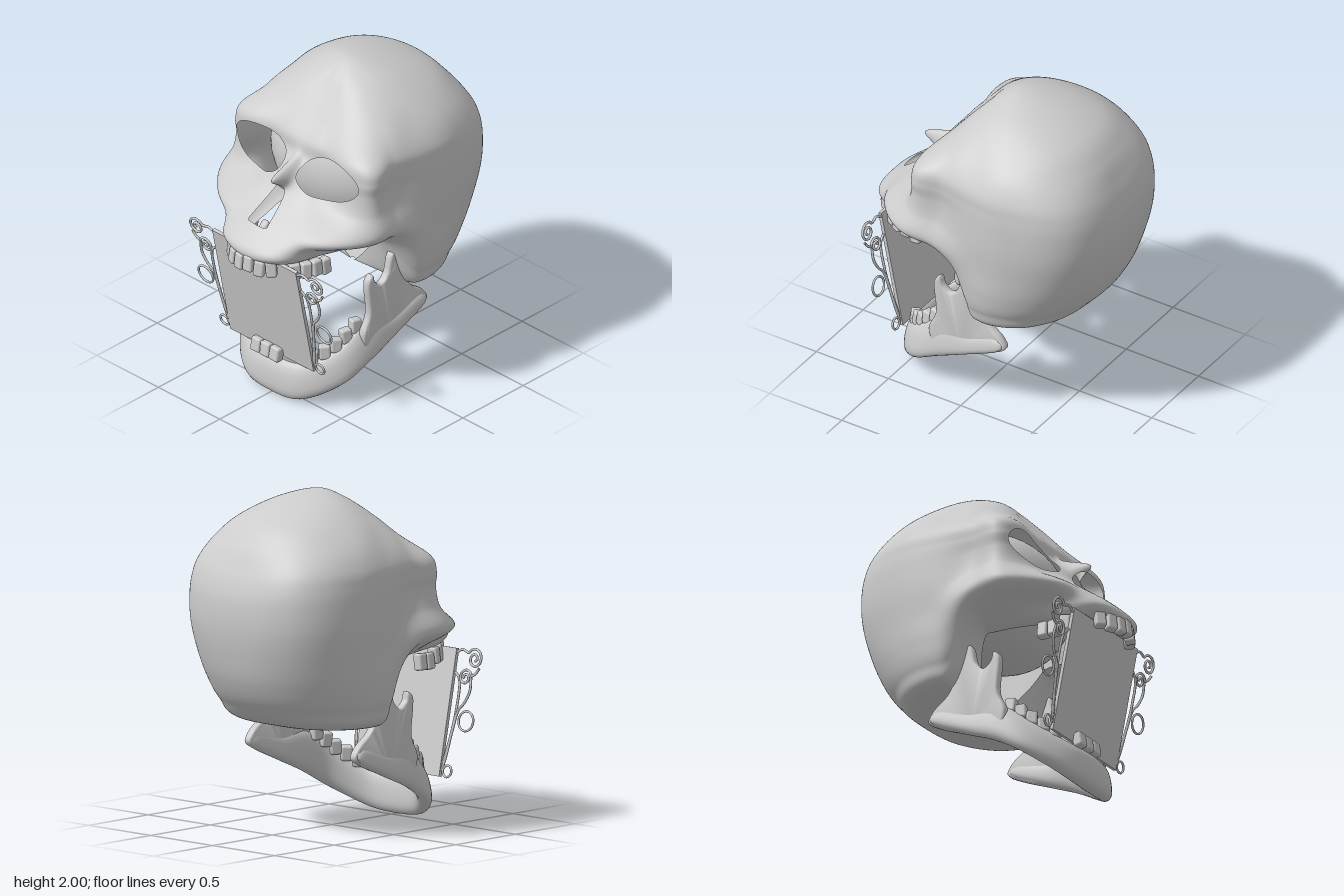
import * as THREE from 'three';
import { toCreasedNormals } from 'three/addons/utils/BufferGeometryUtils.js';
import { RoundedBoxGeometry } from 'three/addons/geometries/RoundedBoxGeometry.js';

const bone = new THREE.MeshStandardMaterial({ color: 0xcccccc, side: THREE.DoubleSide });
const V = (x, y, z) => new THREE.Vector3(x, y, z);

function add(parent, name, geometry) {
  const mesh = new THREE.Mesh(geometry, bone);
  mesh.name = name;
  parent.add(mesh);
  return mesh;
}

// Skull control net: radii around the vertical axis z = AXIS at these angles from the front
const AXIS = -0.1;
const ANGLES = [0, 15, 30, 53, 70, 90, 115, 145, 180];
// height at the front, height at the back, then one radius per angle
const ROWS = [
  [2.0, 2.0, 0, 0, 0, 0, 0, 0, 0, 0, 0],
  [1.95, 1.95, .12, .12, .13, .15, .17, .2, .23, .25, .26],
  [1.85, 1.85, .21, .22, .25, .31, .34, .37, .42, .48, .49],
  [1.73, 1.73, .315, .33, .37, .47, .49, .495, .565, .62, .605],
  [1.615, 1.61, .415, .43, .475, .65, .58, .575, .64, .715, .67],
  [1.52, 1.51, .45, .45, .49, .685, .59, .59, .66, .755, .712],
  [1.43, 1.4, .54, .51, .53, .68, .585, .595, .668, .77, .737],
  [1.32, 1.25, .6, .61, .61, .70, .6, .6, .668, .765, .738],
  [1.18, 1.09, .79, .78, .80, .76, .65, .6, .655, .73, .712],
  [1.08, .92, .895, .87, .69, .61, .55, .59, .635, .67, .66],
  [1.02, .77, .89, .83, .63, .49, .45, .56, .59, .585, .565],
  [1.0, .65, .80, .75, .56, .42, .38, .47, .49, .45, .4],
  [1.02, .61, .72, .68, .5, .36, .3, .02, .02, .02, .02],
];
const LAST = ROWS.length - 1;

const spline = (f, i, t) => {
  const [a, b, c, d] = [f(i - 1), f(i), f(i + 1), f(i + 2)];
  return b + 0.5 * t * (c - a + t * (2 * a - 5 * b + 4 * c - d + t * (3 * (b - c) + d - a)));
};
const cell = (i, k) => ROWS[Math.min(Math.abs(i), LAST)][k];
const column = j => (j < 0 ? -j : j > 8 ? 16 - j : j);
const angleAt = j => (j < 0 ? -ANGLES[-j] : j > 8 ? 360 - ANGLES[16 - j] : ANGLES[j]);

function skullPoint(u, v) {
  const j = Math.min(Math.floor(Math.abs(u)), 7), tu = Math.abs(u) - j;
  const i = Math.min(Math.floor(v), LAST - 1), tv = v - i;
  const deg = spline(angleAt, j, tu);
  const base = spline(row => (row < 0 ? -1 : 1) * spline(k => cell(row, 2 + column(k)), j, tu), i, tv);
  const back = THREE.MathUtils.smoothstep(deg, 62, 92);
  const y = THREE.MathUtils.lerp(spline(k => cell(k, 0), i, tv), spline(k => cell(k, 1), i, tv), back);
  // narrow ridge of the nasal bridge
  const r = base + 0.14 * Math.exp(-((deg / 3.3) ** 2) - ((y - 1.445) / 0.058) ** 2);
  const a = THREE.MathUtils.degToRad(deg) * Math.sign(u);
  return V(Math.sin(a) * r, y, AXIS + Math.cos(a) * r);
}

// Eye and nose openings, as seen from the front (set slightly off centre)
function inOpening(p) {
  if (p.z < 0.15) return false;
  const x = p.x + 0.015;
  const dx = Math.abs(x) - 0.285, dy = p.y - 1.468 - 0.06 * dx;
  const eye = Math.abs(dx / 0.215) ** 2.05 + Math.abs(dy / 0.112) ** 2.05 < 1;
  const nose = p.y > 1.185 && p.y < 1.41 && Math.abs(x) < 0.077 * ((1.41 - p.y) / 0.225) ** 0.6;
  return eye || nose;
}

function skullGeometry() {
  const NU = 288, NV = LAST * 12;
  const param = (c, r) => [-8 + 16 * c / NU, LAST * r / NV];
  const id = (c, r) => r * NU + (c + NU) % NU;
  const points = [], open = [], index = [];
  for (let r = 0; r <= NV; r++) for (let c = 0; c < NU; c++) {
    const p = skullPoint(...param(c, r));
    points.push(p);
    open.push(inOpening(p));
  }
  // Slide the outermost ring inside each opening out to its exact outline
  const steps = [[1, 0], [-1, 0], [0, 1], [0, -1], [1, 1], [-1, 1], [1, -1], [-1, -1]];
  for (let r = 1; r < NV; r++) for (let c = 0; c < NU; c++) {
    if (!open[id(c, r)]) continue;
    const step = steps.find(([a, b]) => !open[id(c + a, r + b)]);
    if (!step) continue;
    let lo = 0, hi = 1;
    for (let n = 0; n < 7; n++) {
      const m = (lo + hi) / 2;
      if (inOpening(skullPoint(...param(c + step[0] * m, r + step[1] * m)))) lo = m; else hi = m;
    }
    points[id(c, r)] = skullPoint(...param(c + step[0] * lo, r + step[1] * lo));
  }
  const tri = (a, b, c) => { if (!(open[a] && open[b] && open[c])) index.push(a, b, c); };
  for (let r = 0; r < NV; r++) for (let c = 0; c < NU; c++) {
    tri(id(c, r), id(c, r + 1), id(c + 1, r));
    tri(id(c + 1, r), id(c, r + 1), id(c + 1, r + 1));
  }
  const g = new THREE.BufferGeometry().setFromPoints(points);
  g.setIndex(index);
  g.computeVertexNormals();
  return g;
}

// Mirror half a path (starting on the centre line) into a full one
const mirrored = half => new THREE.CatmullRomCurve3(
  [...half.slice(1).reverse().map(([x, y, z]) => V(-x, y, z)), ...half.map(p => V(...p))]);

const jawLow = mirrored([[0, 0, .55], [.2, .02, .53], [.38, .13, .38], [.43, .24, .2], [.43, .33, 0], [.43, .42, -.2], [.43, .46, -.26]]);
const jawTop = mirrored([[0, .24, .55], [.19, .25, .52], [.345, .35, .38], [.4, .48, .2], [.42, .48, 0], [.43, .53, -.2], [.43, .51, -.26]]);

// Horseshoe jaw body: rounded sections between the lower and upper edge paths
function jawBodyGeometry() {
  const N = 96, M = 24, points = [], index = [];
  for (let i = 0; i <= N; i++) {
    const low = jawLow.getPoint(i / N), top = jawTop.getPoint(i / N);
    const t = jawLow.getTangent(i / N), side = V(-t.z, 0, t.x).normalize();
    const along = Math.abs(2 * i / N - 1), end = Math.sqrt(Math.max(0, 1 - along ** 24));
    for (let k = 0; k < M; k++) {
      const a = 2 * Math.PI * k / M, s = Math.sin(a);
      const wide = Math.cos(a) * (0.05 - 0.012 * s - 0.014 * along) * end;
      points.push(low.clone().lerp(top, 0.5 + 0.5 * Math.sign(s) * Math.abs(s) ** 0.8 * end).addScaledVector(side, wide));
    }
  }
  for (let i = 0; i < N; i++) for (let k = 0; k < M; k++) {
    const a = i * M + k, b = i * M + (k + 1) % M;
    index.push(a, a + M, b, b, a + M, b + M);
  }
  const g = new THREE.BufferGeometry().setFromPoints(points);
  g.setIndex(index);
  g.computeVertexNormals();
  return g;
}

function ramusGeometry() {
  const outline = [[.26, .42], [.21, .55], [.22, .78], [.18, .815], [.16, .76], [.11, .725], [.06, .77], [.03, .88], [-.01, .91],
    [-.05, .87], [-.05, .8], [-.13, .62], [-.24, .53], [-.27, .47], [-.2, .42], [0, .34], [.2, .3]];
  const path = new THREE.CatmullRomCurve3(outline.map(([z, y]) => V(z, y, 0)), true);
  const shape = new THREE.Shape(path.getPoints(90).slice(0, -1).map(p => new THREE.Vector2(p.x, p.y)));
  const g = new THREE.ExtrudeGeometry(shape, { depth: .022, bevelSize: .016, bevelOffset: -.016, bevelThickness: .016, bevelSegments: 3 });
  g.translate(0, 0, -.011).rotateY(-Math.PI / 2);
  return toCreasedNormals(g, 0.9);
}

// One tooth facing outwards along an arch
function tooth(parent, p, tangent, w, h, lean, n) {
  const t = add(parent, 'tooth', new RoundedBoxGeometry(w, h, .06, 2, .014));
  t.position.copy(p);
  t.rotation.set(lean, Math.atan2(-tangent.z, tangent.x), .08 * Math.sin(n * 2.7), 'YXZ');
}

const spiral = (x, y, r0, r1, a0, a1) => Array.from({ length: 29 }, (_, i) => {
  const a = a0 + (a1 - a0) * i / 28, r = r0 + (r1 - r0) * i / 28;
  return [x + r * Math.cos(a), y + r * Math.sin(a)];
});

export function createModel() {
  const model = new THREE.Group();
  model.name = 'skull';

  add(model, 'cranium', skullGeometry());
  // Inner braincase closes the back of the eye sockets and the skull base
  const inner = add(model, 'braincase', new THREE.SphereGeometry(1, 48, 32));
  inner.scale.set(.53, .4, .41);
  inner.position.set(0, 1.36, AXIS);

  // Upper teeth
  const upper = new THREE.Group();
  upper.name = 'upperTeeth';
  model.add(upper);
  const arch = mirrored([[0, .985, .79], [.1, .985, .77], [.2, .98, .69], [.285, .95, .55], [.3, .94, .4]]);
  for (let i = 0; i < 16; i++) {
    if (i === 4 || i === 11) continue;
    const t = (i + .5) / 16;
    const p = arch.getPointAt(t);
    p.y += .008 * Math.sin(i * 4.1);
    tooth(upper, p, arch.getTangentAt(t), .066, .1, -.12, i);
  }

  // Lower jaw
  const jaw = new THREE.Group();
  jaw.name = 'lowerJaw';
  model.add(jaw);
  add(jaw, 'jawBody', jawBodyGeometry());
  const ramus = ramusGeometry();
  for (const s of [1, -1]) add(jaw, 'jawBranch', ramus).position.x = s * .425;
  [-.115, -.04, .035].forEach((x, i) => tooth(jaw, V(x, .275, .565), V(1, 0, 0), .074, .09, -.15, i));
  for (const s of [1, -1]) for (let i = 0; i < 5; i++) {
    const t = .5 + s * (.115 + .028 * i);
    const p = jawTop.getPoint(t);
    p.x *= .94;
    p.y += .02;
    tooth(jaw, p, jawTop.getTangent(t), .068, .09, -.1, i);
  }

  // Tilted panel held in the mouth, with scrollwork on both edges
  const sign = new THREE.Group();
  sign.name = 'sign';
  sign.position.set(-.025, .63, .605);
  sign.rotation.x = .2;
  model.add(sign);
  add(sign, 'panel', new THREE.BoxGeometry(.68, .755, .022));
  const strands = [
    [[.33, .35], [.38, .375], ...spiral(.485, .33, .062, .012, 2.6, -7.5)],
    [[.53, .28], [.505, .245], ...spiral(.43, .215, .05, .01, .3, 10)],
    [[.475, .22], [.48, .14], [.45, .07], [.41, .02], [.385, -.1], [.365, -.24], [.345, -.34]],
    [[.345, .24], [.385, .2], [.395, .05], [.375, -.15], [.345, -.3]],
  ];
  for (const s of [1, -1]) {
    for (const pts of strands) {
      const curve = new THREE.CatmullRomCurve3(pts.map(([x, y]) => V(s * x, y, 0)));
      add(sign, 'scroll', new THREE.TubeGeometry(curve, 90, .008, 8));
    }
    add(sign, 'largeRing', new THREE.TorusGeometry(.058, .007, 8, 40)).position.set(s * .482, -.035, 0);
    add(sign, 'smallRing', new THREE.TorusGeometry(.034, .007, 8, 32)).position.set(s * .388, -.34, 0);
  }
  return model;
}
